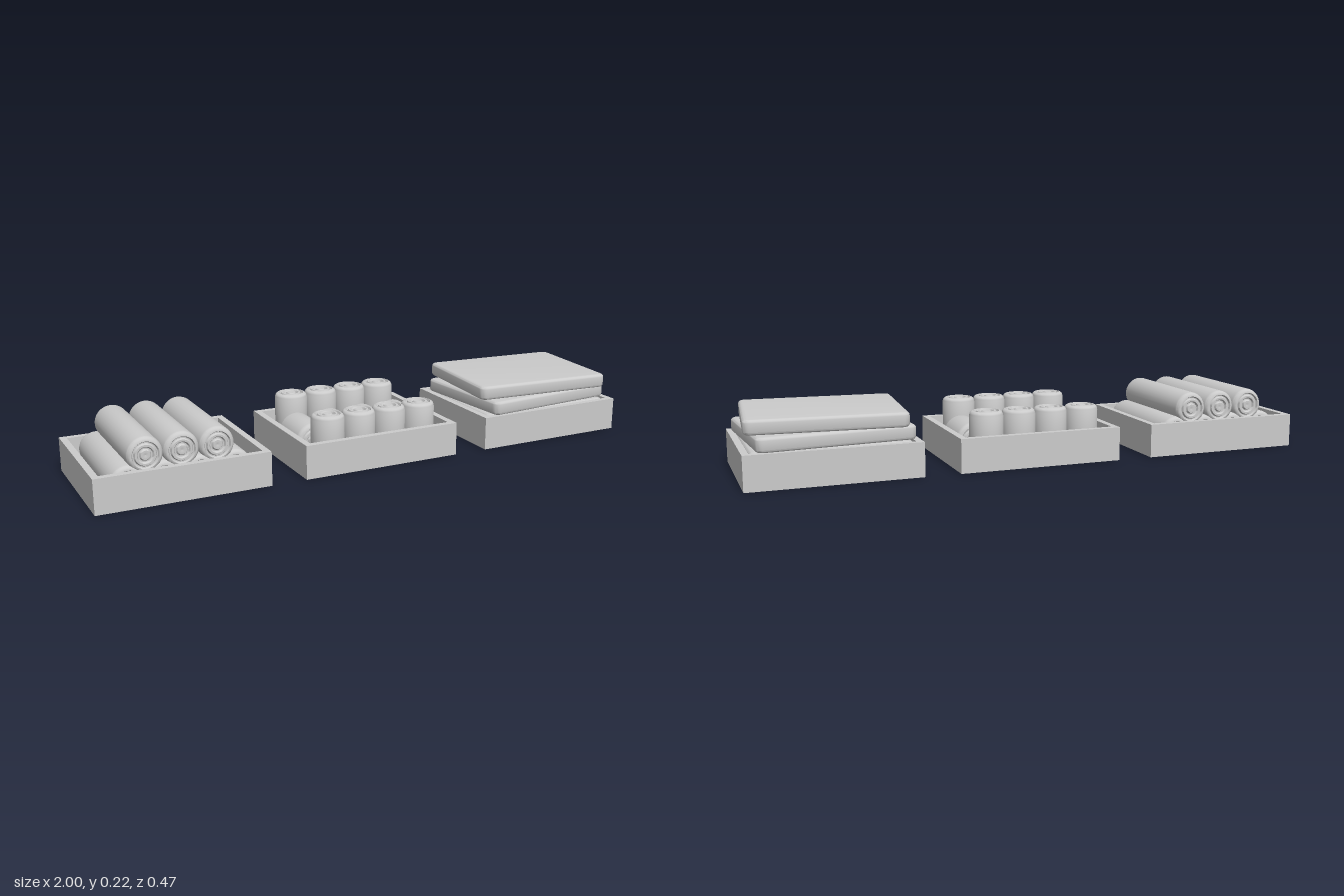
import * as THREE from 'three';
import { toCreasedNormals } from 'three/addons/utils/BufferGeometryUtils.js';

const W = 0.584, D = 0.468, H = 0.118, WALL = 0.023, FLOOR = 0.017, R = 0.0585;
const material = new THREE.MeshStandardMaterial({ color: 0xcccccc });

function add(parent, name, geometry, x, y, z) {
  const mesh = new THREE.Mesh(geometry, material);
  mesh.name = name;
  mesh.position.set(x, y, z);
  parent.add(mesh);
  return mesh;
}

// Rectangle outline with optional rounded corners, centred on the origin
function rectangle(Type, w, d, r = 0) {
  const x = w / 2, y = d / 2, s = new Type();
  s.moveTo(-x + r, -y).lineTo(x - r, -y);
  if (r) s.quadraticCurveTo(x, -y, x, -y + r);
  s.lineTo(x, y - r);
  if (r) s.quadraticCurveTo(x, y, x - r, y);
  s.lineTo(-x + r, y);
  if (r) s.quadraticCurveTo(-x, y, -x, y - r);
  s.lineTo(-x, -y + r);
  if (r) s.quadraticCurveTo(-x, -y, -x + r, -y);
  return s;
}

// Open tray: walls around a recessed floor
function tray(name, x) {
  const group = new THREE.Group();
  group.name = name;
  group.position.x = x;
  const shape = rectangle(THREE.Shape, W, D);
  shape.holes.push(rectangle(THREE.Path, W - 2 * WALL, D - 2 * WALL));
  const walls = new THREE.ExtrudeGeometry(shape, { depth: H, bevelEnabled: false });
  add(group, 'trayWalls', walls.rotateX(-Math.PI / 2), 0, 0, 0);
  const floor = new THREE.BoxGeometry(W - 2 * WALL, FLOOR, D - 2 * WALL);
  add(group, 'trayFloor', floor, 0, FLOOR / 2, 0);
  return group;
}

// Rolled towel: soft rim and ringed grooves on both ends
function rollGeometry(r, length) {
  const h = length / 2;
  const end = [[0, 0.004], [0.16, 0], [0.26, 0], [0.33, 0.007], [0.4, 0.007], [0.47, 0],
    [0.58, 0], [0.64, 0.007], [0.7, 0.007], [0.76, 0], [0.84, 0.001], [0.93, 0.005],
    [0.98, 0.011], [1, 0.018]];
  const bottom = end.map(([k, dip]) => new THREE.Vector2(k * r, -h + dip));
  const top = end.map(([k, dip]) => new THREE.Vector2(k * r, h - dip)).reverse();
  return toCreasedNormals(new THREE.LatheGeometry([...bottom, ...top], 32), 0.6);
}

// Folded towel: flat pad with soft edges
function foldedGeometry(w, d, h) {
  const b = 0.01, s = 0.014;
  const g = new THREE.ExtrudeGeometry(rectangle(THREE.Shape, w - 2 * s, d - 2 * s, 0.012), {
    depth: h - 2 * b, bevelThickness: b, bevelSize: s, bevelSegments: 4, curveSegments: 5,
  });
  g.rotateX(-Math.PI / 2).translate(0, b, 0);
  return toCreasedNormals(g, 0.6);
}

export function createModel() {
  const model = new THREE.Group();
  model.name = 'towelTrays';

  // Long rolls: four below, three above
  const longTray = tray('longRollTray', -0.708);
  const longRoll = rollGeometry(R, D - 2 * WALL).rotateX(Math.PI / 2);
  [[4, FLOOR + R], [3, 0.161]].forEach(([count, y]) => {
    for (let i = 0; i < count; i++) {
      add(longTray, 'longRoll', longRoll, (i - (count - 1) / 2) * 0.1175, y, 0);
    }
  });

  // Short rolls: a lying row between two standing rows
  const shortTray = tray('shortRollTray', 0);
  const standing = rollGeometry(R, 0.178);
  const lying = rollGeometry(0.063, 0.172).rotateX(Math.PI / 2);
  for (let i = -1.5; i <= 1.5; i++) {
    add(shortTray, 'lyingRoll', lying, i * 0.13, FLOOR + 0.061, 0);
    for (const side of [-1, 1]) {
      add(shortTray, 'standingRoll', standing, i * 0.1175, FLOOR + 0.089, side * 0.154);
    }
  }

  // Folded towels: two straight ones in the tray, two twisted ones on top
  const foldedTray = tray('foldedTowelTray', 0.708);
  const folded = foldedGeometry(0.53, 0.425, 0.05);
  [0, 0, 0.082, -0.082].forEach((turn, i) => {
    const towel = add(foldedTray, 'foldedTowel', folded, 0, FLOOR + i * 0.0507, 0);
    towel.rotation.y = turn;
    if (!turn) towel.scale.z = 0.98;
  });

  model.add(longTray, shortTray, foldedTray);
  return model;
}
